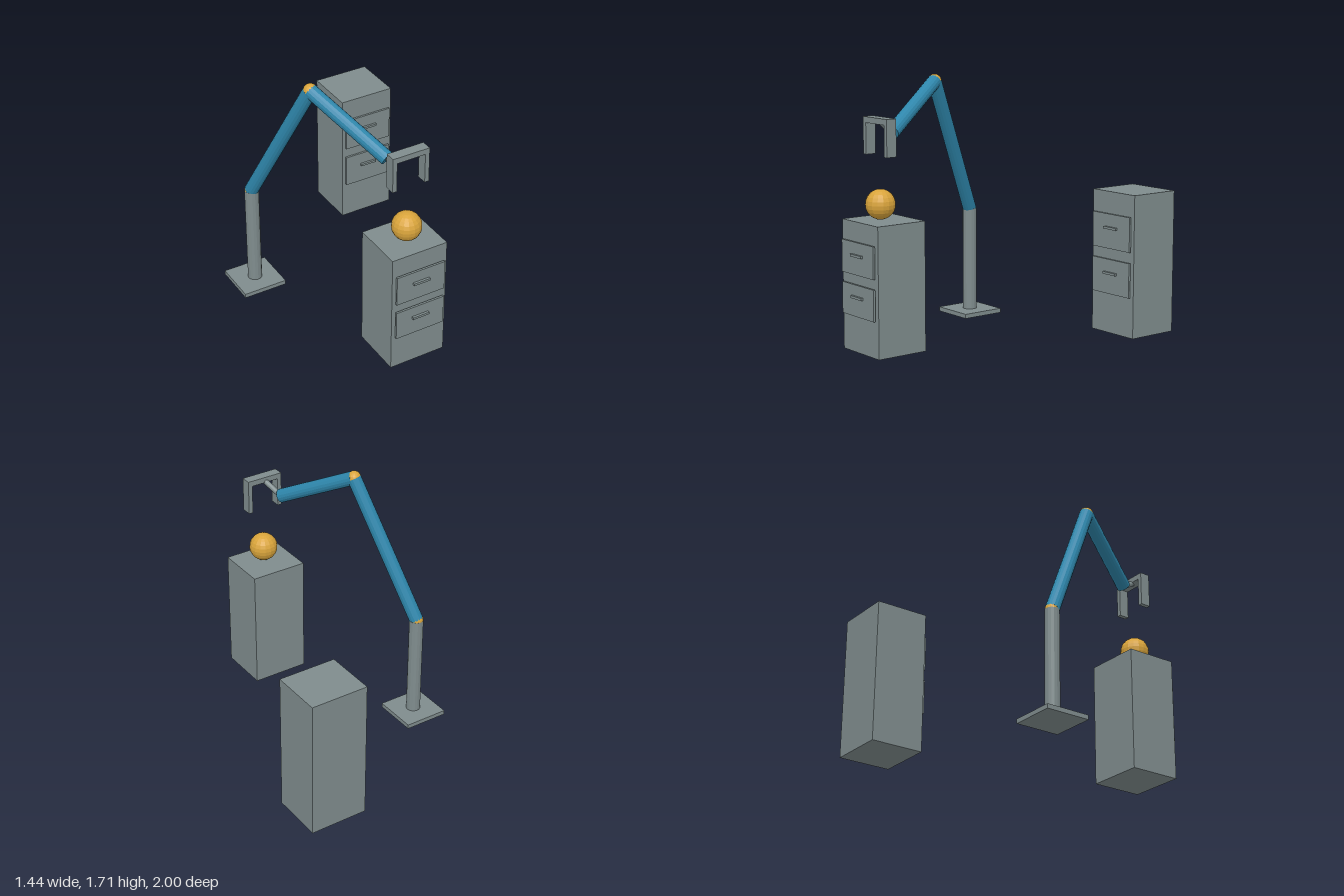
import * as THREE from 'three';

const mat = (name, color) => {
  const m = new THREE.MeshStandardMaterial({ color, flatShading: true });
  m.name = name;
  return m;
};

export function createModel() {
  const grey = mat('steel grey', 0x7f8c8d);
  const blue = mat('arm blue', 0x2e86ab);
  const gold = mat('joint gold', 0xd9a43b);
  const root = new THREE.Group();
  root.name = 'robotArmWorkcell';

  const add = (parent, name, geometry, material, pos) => {
    const mesh = new THREE.Mesh(geometry, material);
    mesh.name = name;
    mesh.position.copy(pos);
    parent.add(mesh);
    return mesh;
  };
  // Box given by its lower and upper limits on each axis
  const box = (parent, name, x0, x1, y0, y1, z0, z1) =>
    add(parent, name, new THREE.BoxGeometry(x1 - x0, y1 - y0, z1 - z0), grey,
      new THREE.Vector3((x0 + x1) / 2, (y0 + y1) / 2, (z0 + z1) / 2));
  // Cylinder running between two points
  const rod = (parent, name, a, b, radius, material) => {
    const dir = b.clone().sub(a);
    const mesh = add(parent, name, new THREE.CylinderGeometry(radius, radius, dir.length(), 16),
      material, a.clone().add(b).multiplyScalar(0.5));
    mesh.quaternion.setFromUnitVectors(new THREE.Vector3(0, 1, 0), dir.normalize());
  };
  const ball = (parent, name, pos, radius) =>
    add(parent, name, new THREE.SphereGeometry(radius, 16, 12), gold, pos);

  // Robot arm: base, post, two links and their joints
  const arm = new THREE.Group();
  arm.name = 'robotArm';
  root.add(arm);
  const foot = new THREE.Vector3(-0.57, 0.03, -0.293);
  const shoulder = new THREE.Vector3(-0.57, 0.74, -0.293);
  const elbow = new THREE.Vector3(-0.365, 1.66, 0.155);
  const wrist = new THREE.Vector3(-0.125, 1.375, 0.668);
  const hand = new THREE.Vector3(-0.063, 1.465, 0.805);
  box(arm, 'basePlate', -0.723, -0.417, 0, 0.03, -0.446, -0.14);
  rod(arm, 'post', foot, shoulder, 0.048, grey);
  rod(arm, 'upperArm', shoulder, elbow, 0.047, blue);
  rod(arm, 'forearm', elbow, wrist, 0.047, blue);
  rod(arm, 'wristRod', wrist, hand, 0.019, grey);
  ball(arm, 'shoulderJoint', shoulder, 0.047);
  ball(arm, 'elbowJoint', elbow, 0.047);

  // Gripper: crossbar and two fingers
  const gripper = new THREE.Group();
  gripper.name = 'gripper';
  arm.add(gripper);
  box(gripper, 'gripperBar', -0.192, 0.066, 1.447, 1.485, 0.769, 0.841);
  for (const x of [-0.192, 0.036])
    box(gripper, 'gripperFinger', x, x + 0.03, 1.247, 1.45, 0.769, 0.841);

  ball(root, 'targetBall', new THREE.Vector3(-0.062, 0.94, 0.805), 0.097);

  // Cabinets: body plus drawers [bottom, top, handle height]
  const cabinet = (name, cx, z0, height, drawerHalf, drawers) => {
    const g = new THREE.Group();
    g.name = name;
    root.add(g);
    const z1 = z0 + 0.358;
    box(g, 'cabinetBody', cx - 0.197, cx + 0.197, 0, height, z0, z1);
    for (const [bottom, top, handleY] of drawers) {
      box(g, 'drawerFront', cx - drawerHalf, cx + drawerHalf, bottom, top, z1 + 0.008, z1 + 0.022);
      box(g, 'drawerHandle', cx - 0.059, cx + 0.059, handleY - 0.008, handleY + 0.008, z1 + 0.022, z1 + 0.038);
    }
  };
  cabinet('frontCabinet', -0.062, 0.604, 0.838, 0.174,
    [[0.506, 0.714, 0.63], [0.239, 0.442, 0.364]]);
  cabinet('rearCabinet', 0.523, -1, 0.949, 0.175,
    [[0.573, 0.804, 0.712], [0.27, 0.501, 0.409]]);

  return root;
}
